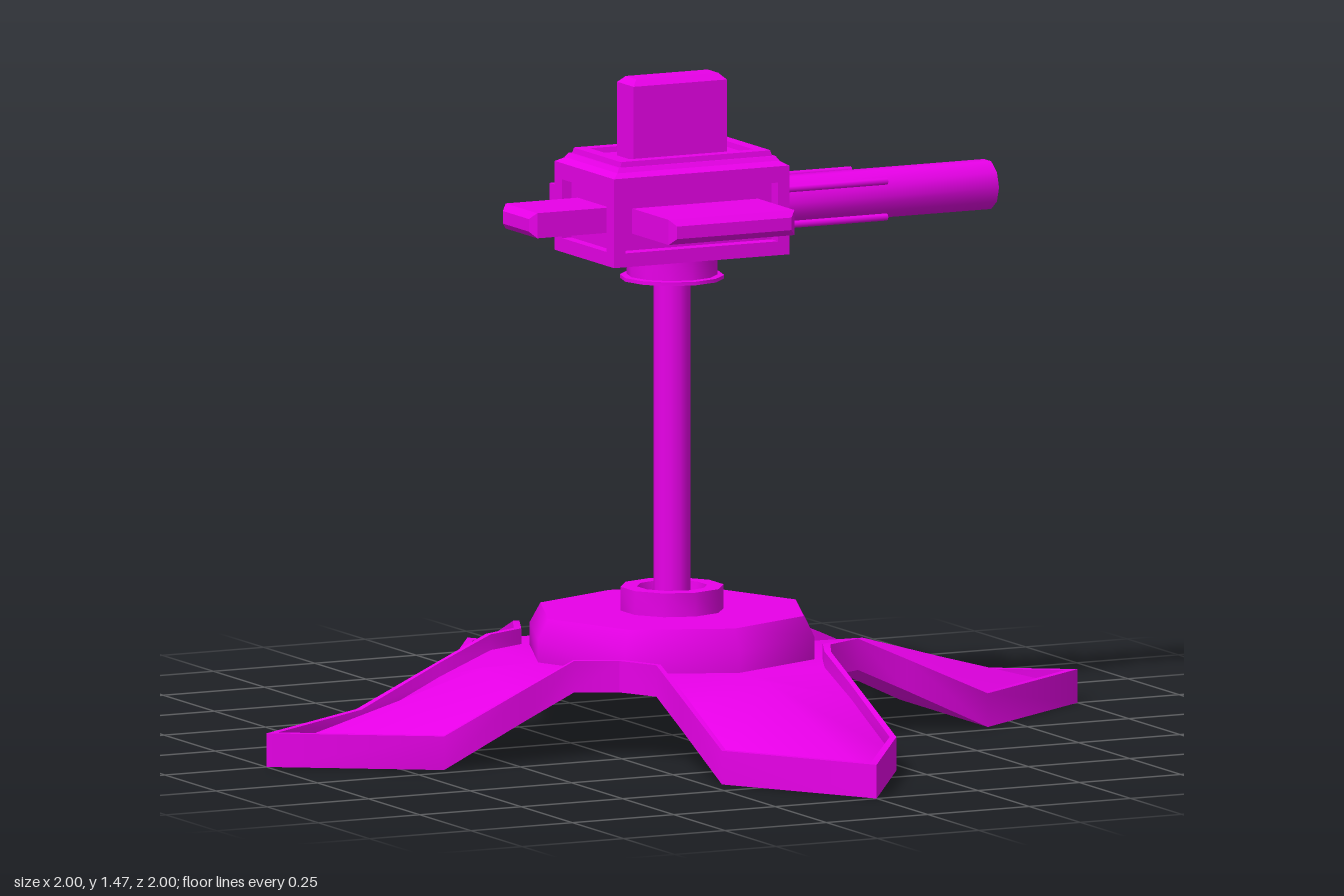
import * as THREE from 'three';
import { toCreasedNormals } from 'three/addons/utils/BufferGeometryUtils.js';

const flat = new THREE.MeshStandardMaterial({ color: 0xe800e8, flatShading: true });
const smooth = new THREE.MeshStandardMaterial({ color: 0xe800e8 });
const AXIS_Y = 1.172; // height of barrel and side fins
const CREASE = 0.9; // edges sharper than this stay hard

function add(parent, name, geometry, material = flat) {
  const mesh = new THREE.Mesh(geometry, material);
  mesh.name = name;
  parent.add(mesh);
  return mesh;
}

// Box from y0 to y1 whose top may be smaller than its bottom
function taperBox(w, d, y0, y1, topW = w, topD = d) {
  const g = new THREE.BoxGeometry(w, y1 - y0, d).translate(0, (y0 + y1) / 2, 0);
  const p = g.attributes.position;
  for (let i = 0; i < p.count; i++) {
    if (p.getY(i) > (y0 + y1) / 2) {
      p.setX(i, p.getX(i) * topW / w);
      p.setZ(i, p.getZ(i) * topD / d);
    }
  }
  return g;
}

// Turned part from [radius, y] points, bottom to top on the outside
function turned(points, sides) {
  const g = new THREE.LatheGeometry(points.map(([r, y]) => new THREE.Vector2(r, y)), sides);
  return toCreasedNormals(g, CREASE);
}

// One quarter of the base: rimmed arm with a ridged sunken panel, lofted along +x
function armGeometry() {
  // outer r, half width, bottom y, rim y, inner r, inner half width, panel edge y, ridge y
  const sections = [
    [0, 0, 0.15, 0.22, 0, 0, 0.185, 0.185],
    [0.26, 0.26, 0.15, 0.22, 0.247, 0.247, 0.185, 0.185],
    [0.35, 0.215, 0.15, 0.22, 0.345, 0.202, 0.185, 0.185],
    [0.47, 0.215, 0.095, 0.166, 0.47, 0.202, 0.135, 0.183],
    [0.67, 0.215, 0, 0.075, 0.663, 0.202, 0.045, 0.127],
    [1, 0, 0, 0.075, 0.97, 0, 0.042, 0.042],
  ];
  const loops = sections.map(([r, w, yb, yt, ri, wi, yp, yr]) => [
    [r, yb, -w], [r, yt, -w], [ri, yt, -wi], [ri, yp, -wi], [ri, yr, 0],
    [ri, yp, wi], [ri, yt, wi], [r, yt, w], [r, yb, w],
  ]);
  const verts = [];
  for (let i = 0; i < loops.length - 1; i++) {
    for (let k = 0; k < 9; k++) {
      if (i === 0 && ![3, 4, 8].includes(k)) continue; // centre has only panel and underside
      const n = (k + 1) % 9;
      const a = loops[i][k], b = loops[i][n], c = loops[i + 1][n], d = loops[i + 1][k];
      // split panel and rim symmetrically about the ridge
      if (k < 4) verts.push(...a, ...b, ...d, ...b, ...c, ...d);
      else verts.push(...a, ...b, ...c, ...a, ...c, ...d);
    }
  }
  const g = new THREE.BufferGeometry();
  g.setAttribute('position', new THREE.Float32BufferAttribute(verts, 3));
  return toCreasedNormals(g, CREASE);
}

// Fin standing on y = 0 with a chamfered end
function fin(name, w, d, length) {
  const g = new THREE.Group();
  g.name = name;
  const c = 0.014;
  add(g, 'finBlade', taperBox(w, d, 0, length - c));
  add(g, 'finEnd', taperBox(w, d, length - c, length, w - 2 * c, d - 2 * c));
  return g;
}

// Cylinder lying along +x
function rod(radius, x0, x1, y, z, sides = 8) {
  return new THREE.CylinderGeometry(radius, radius, x1 - x0, sides)
    .rotateZ(-Math.PI / 2).translate((x0 + x1) / 2, y, z);
}

function buildBase() {
  const base = new THREE.Group();
  base.name = 'base';
  const arm = armGeometry();
  for (let i = 0; i < 4; i++) add(base, 'baseArm', arm, smooth).rotation.y = i * Math.PI / 2;
  add(base, 'hub', turned([[0, 0.18], [0.33, 0.18], [0.33, 0.235], [0.305, 0.28], [0, 0.28]], 8), smooth);
  add(base, 'poleSocket', turned([[0.115, 0.275], [0.115, 0.333], [0.078, 0.333], [0.07, 0.285], [0, 0.285]], 10), smooth);
  add(base, 'pole', new THREE.CylinderGeometry(0.041, 0.041, 0.78, 12).translate(0, 0.66, 0), smooth);
  return base;
}

function buildHead() {
  const head = new THREE.Group();
  head.name = 'head';
  add(head, 'headCollar', turned([[0, 1.018], [0.115, 1.018], [0.115, 1.026], [0.1, 1.027], [0.1, 1.085], [0, 1.085]], 12), smooth);

  // Framed housing: core, floor, roof and corner posts
  add(head, 'housingCore', taperBox(0.386, 0.226, 1.1, 1.25));
  add(head, 'housingFloor', taperBox(0.432, 0.29, 1.076, 1.107));
  add(head, 'housingRoof', taperBox(0.432, 0.29, 1.238, 1.274));
  add(head, 'roofChamfer', taperBox(0.432, 0.29, 1.274, 1.286, 0.39, 0.248));
  for (const sx of [-1, 1]) {
    for (const sz of [-1, 1]) {
      add(head, 'cornerPost', taperBox(0.028, 0.036, 1.1, 1.245)).position.set(sx * 0.202, 0, sz * 0.127);
    }
  }

  // Raised roof frame with a sunken middle
  add(head, 'roofPlate', taperBox(0.4, 0.26, 1.284, 1.294, 0.386, 0.246));
  for (const s of [-1, 1]) {
    add(head, 'roofRail', taperBox(0.376, 0.034, 1.29, 1.306, 0.366, 0.028)).position.z = s * 0.102;
    add(head, 'roofRail', taperBox(0.034, 0.236, 1.29, 1.306, 0.028, 0.226)).position.x = s * 0.171;
  }

  // Fins on top, both sides and rear
  const topFin = fin('topFin', 0.23, 0.08, 0.182);
  topFin.position.y = 1.29;
  head.add(topFin);
  for (const s of [-1, 1]) {
    const side = fin('sideFin', 0.31, 0.056, 0.215);
    side.position.set(0, AXIS_Y, s * 0.09);
    side.rotation.x = s * Math.PI / 2;
    head.add(side);
  }
  const rear = fin('rearFin', 0.056, 0.155, 0.225);
  rear.position.set(-0.16, AXIS_Y, 0);
  rear.rotation.z = Math.PI / 2;
  head.add(rear);
  return head;
}

function buildGun() {
  const gun = new THREE.Group();
  gun.name = 'gun';
  const tube = turned([[0.056, 0.15], [0.056, 0.778], [0.044, 0.778], [0.044, 0.5], [0, 0.5]], 10);
  add(gun, 'barrel', tube.rotateZ(-Math.PI / 2).translate(0, AXIS_Y, 0), smooth);
  add(gun, 'barrelCore', rod(0.008, 0.49, 0.8, AXIS_Y, 0), smooth);
  for (const sy of [-1, 1]) {
    for (const sz of [-1, 1]) {
      add(gun, 'guideRod', rod(0.008, 0.15, 0.485, AXIS_Y + sy * 0.04, sz * 0.088), smooth);
    }
  }
  return gun;
}

export function createModel() {
  const model = new THREE.Group();
  model.name = 'turret';
  model.add(buildBase(), buildHead(), buildGun());
  return model;
}
